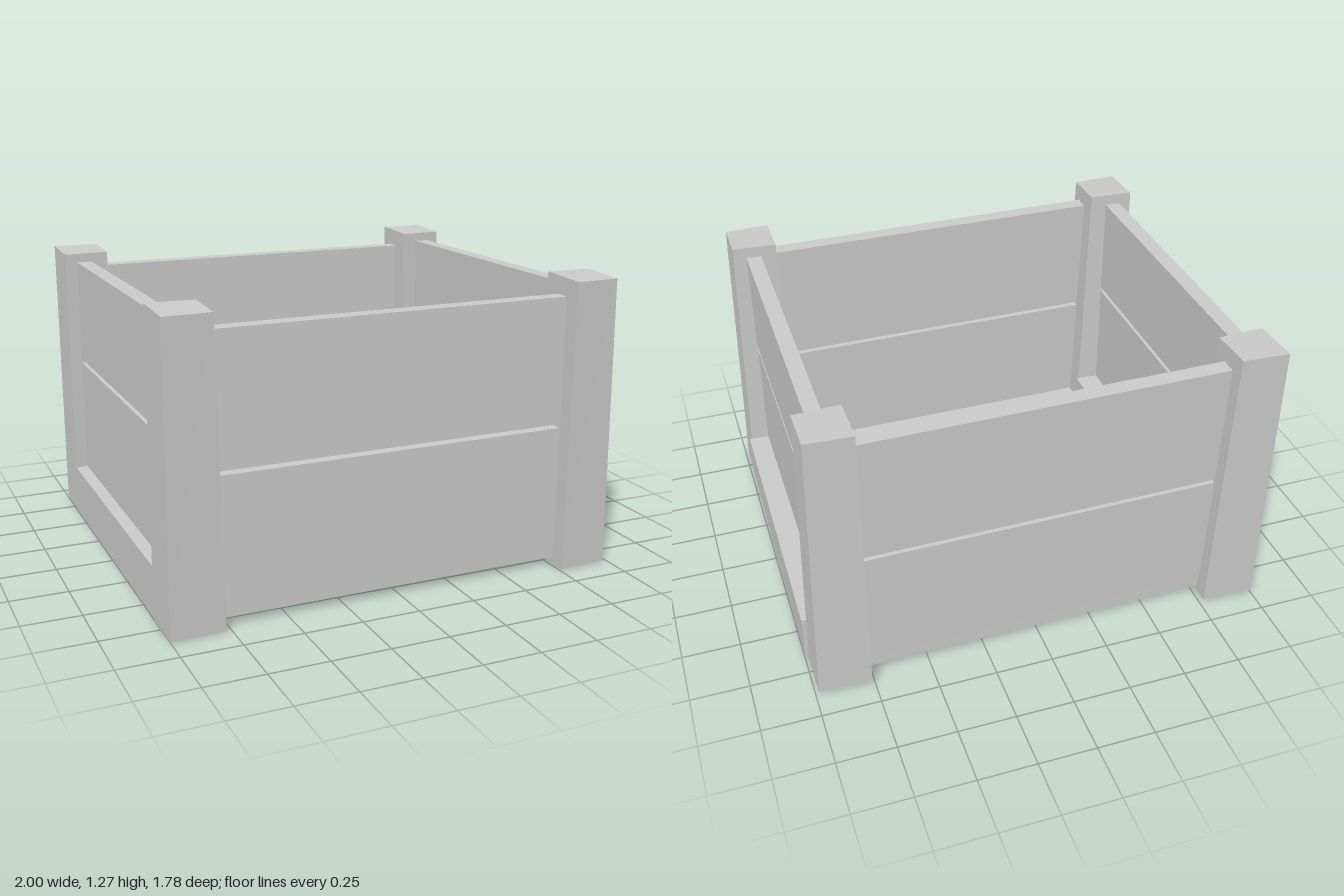
import * as THREE from 'three';

const material = new THREE.MeshStandardMaterial({ color: 0xcccccc, flatShading: true });

// A box given by its ranges; bend(v, side) nudges each corner, side holds -1 or 1 per axis.
function block(name, [x0, x1], [y0, y1], [z0, z1], bend) {
  const geometry = new THREE.BoxGeometry(1, 1, 1);
  const position = geometry.attributes.position;
  const side = new THREE.Vector3();
  const v = new THREE.Vector3();
  for (let i = 0; i < position.count; i++) {
    side.fromBufferAttribute(position, i).multiplyScalar(2);
    v.set(side.x < 0 ? x0 : x1, side.y < 0 ? y0 : y1, side.z < 0 ? z0 : z1);
    if (bend) bend(v, side);
    position.setXYZ(i, v.x, v.y, v.z);
  }
  geometry.computeVertexNormals();
  const mesh = new THREE.Mesh(geometry, material);
  mesh.name = name;
  return mesh;
}

export function createModel() {
  const group = new THREE.Group();
  group.name = 'crate';

  // Corner posts, a little wider at the foot on one side
  const postBend = (v, s) => {
    if (s.x > 0 && s.y < 0) v.x += 0.03;
    if (s.x > 0) v.z -= 0.01 * s.z;
    if (s.y < 0) v.z -= v.z > 0 ? 0.018 : 0;
    if (s.y > 0) v.y -= 0.005 * s.z;
  };
  for (const [xName, x] of [['Right', [-1, -0.8]], ['Left', [0.76, 0.955]]]) {
    group.add(block('frontPost' + xName, x, [0, 1.27], [0.665, 0.89], postBend));
    group.add(block('backPost' + xName, x, [0.01, 1.27], [-0.89, -0.665], postBend));
  }

  // Front and back planks, slightly skewed
  const skew = (v, s) => { if (s.x > 0) v.z -= 0.02; };
  for (const [name, z] of [['front', [0.76, 0.83]], ['back', [-0.815, -0.743]]]) {
    group.add(block(name + 'LowerPlank', [-0.82, 0.79], [0.105, 0.625], z, skew));
    group.add(block(name + 'UpperPlank', [-0.82, 0.79], [0.642, 1.192], z, skew));
  }

  // Side planks, each above a thick bottom rail
  const sides = [
    ['right', [-0.945, -0.875], [-1, -0.765]],
    ['left', [0.83, 0.897], [0.76, 0.99]],
  ];
  for (const [name, plankX, railX] of sides) {
    group.add(block(name + 'LowerPlank', plankX, [0.2, 0.745], [-0.69, 0.69]));
    group.add(block(name + 'UpperPlank', plankX, [0.765, 1.225], [-0.69, 0.69]));
    group.add(block(name + 'Rail', railX, [0.01, 0.228], [-0.675, 0.66], (v, s) => {
      if (name === 'left' && s.x > 0 && s.z < 0) v.x += 0.01;
    }));
  }

  // Floor boards with a narrow seam
  for (const [name, z] of [['frontFloorBoard', [0.002, 0.815]], ['backFloorBoard', [-0.81, -0.002]]]) {
    group.add(block(name, [-0.8, 0.79], [0.033, 0.1], z, (v, s) => {
      if (s.x > 0 && Math.abs(v.z) > 0.5) v.z -= 0.015;
    }));
  }

  return group;
}
